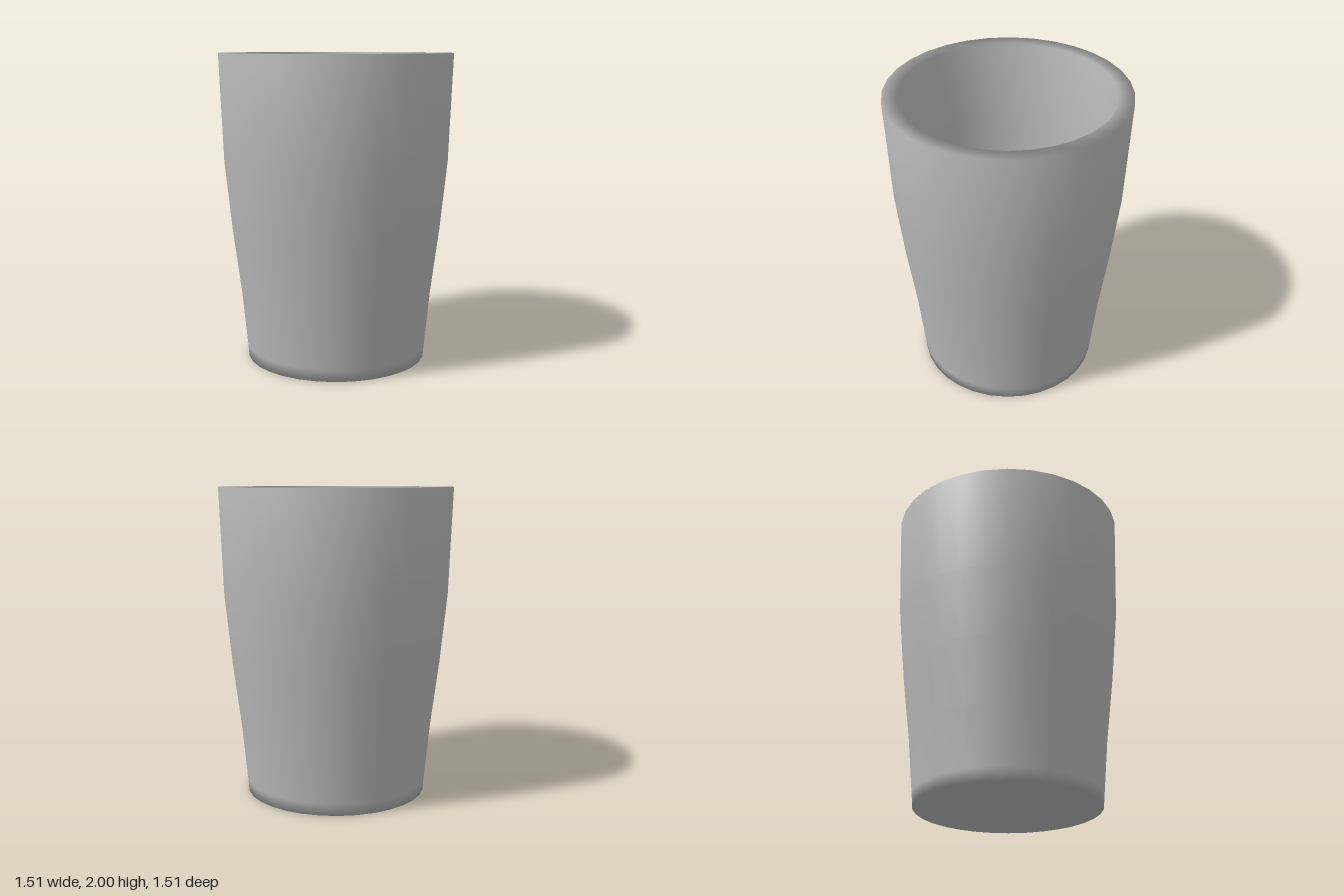
import * as THREE from 'three';

export function createModel() {
  const group = new THREE.Group();
  group.name = 'tumbler';

  const grey = new THREE.MeshStandardMaterial({ color: 0xb8b8b8 });
  grey.name = 'grey';

  // Closed profile as [radius, height]: base, outer wall, rim, inner wall, floor
  const profile = [
    [0, 0], [0.59, 0], [0.597, 0.08], [0.632, 0.45], [0.685, 0.87], [0.73, 1.32], [0.755, 2],
    [0.662, 2], [0.637, 1.32], [0.592, 0.87], [0.54, 0.45], [0.505, 0.12], [0, 0.12],
  ].map(([r, y]) => new THREE.Vector2(r, y));

  const cup = new THREE.Mesh(new THREE.LatheGeometry(profile, 32), grey);
  cup.name = 'cup';
  group.add(cup);

  return group;
}
